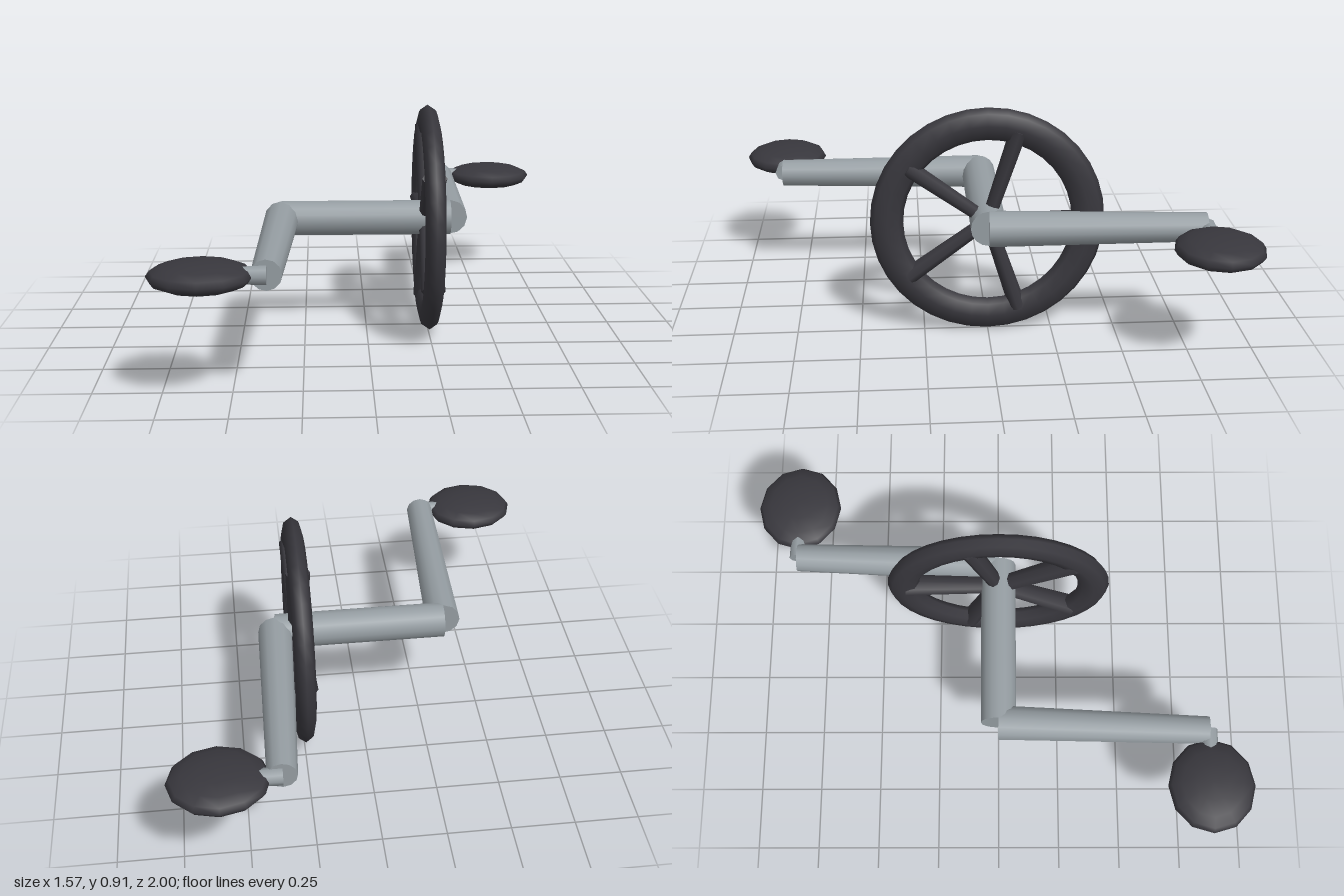
import * as THREE from 'three';

const AXLE_Y = 0.46;

export function createModel() {
  const model = new THREE.Group();
  const steel = new THREE.MeshStandardMaterial({ color: 0x959da2 });
  steel.name = 'steel grey';
  const black = new THREE.MeshStandardMaterial({ color: 0x38373d });
  black.name = 'charcoal';

  // Tapered rod between two points; flat scales its local x thickness
  function rod(name, from, to, r0, r1, sides, material, parent, flat = 1) {
    const a = new THREE.Vector3(...from);
    const dir = new THREE.Vector3(...to).sub(a);
    const geometry = new THREE.CylinderGeometry(r1, r0, dir.length(), sides);
    geometry.scale(flat, 1, 1);
    const mesh = new THREE.Mesh(geometry, material);
    mesh.name = name;
    mesh.position.copy(a).addScaledVector(dir, 0.5);
    mesh.quaternion.setFromUnitVectors(new THREE.Vector3(0, 1, 0), dir.normalize());
    parent.add(mesh);
    return mesh;
  }

  const crank = new THREE.Group();
  crank.name = 'crankset';
  crank.position.y = AXLE_Y;
  model.add(crank);

  // Main axle
  rod('axle', [-0.34, 0, 0], [0.34, 0, 0], 0.07, 0.07, 16, steel, crank);

  // Arms, spindles and pedals point opposite ways on the two sides
  for (const [side, s] of [['left', 1], ['right', -1]]) {
    rod(side + 'CrankArm', [s * 0.34, 0, 0], [s * 0.372, 0, -s * 0.83], 0.07, 0.056, 12, steel, crank);
    rod(side + 'PedalSpindle', [s * 0.37, 0, -s * 0.83], [s * 0.76, 0, -s * 0.83], 0.035, 0.022, 8, steel, crank);
    const pedal = new THREE.Mesh(new THREE.SphereGeometry(1, 12, 8), black);
    pedal.name = side + 'Pedal';
    pedal.scale.set(0.187, 0.053, 0.17);
    pedal.position.set(s * 0.597, 0, -s * 0.83);
    crank.add(pedal);
  }

  // Chainring: flattened hoop with five tapered spokes
  const ring = new THREE.Group();
  ring.name = 'chainring';
  ring.position.x = 0.25;
  crank.add(ring);

  const hoopGeometry = new THREE.TorusGeometry(0.39, 0.064, 8, 36);
  hoopGeometry.scale(1, 1, 0.62);
  hoopGeometry.rotateY(Math.PI / 2);
  const hoop = new THREE.Mesh(hoopGeometry, black);
  hoop.name = 'hoop';
  ring.add(hoop);

  for (let i = 0; i < 5; i++) {
    const angle = (i * Math.PI * 2) / 5;
    const geometry = new THREE.CylinderGeometry(0.034, 0.026, 0.38, 8);
    geometry.translate(0, 0.19, 0);
    geometry.scale(1.4, 1, 1);
    const spoke = new THREE.Mesh(geometry, black);
    spoke.name = 'spoke' + (i + 1);
    spoke.rotation.x = angle - Math.PI / 2;
    ring.add(spoke);
  }

  return model;
}
